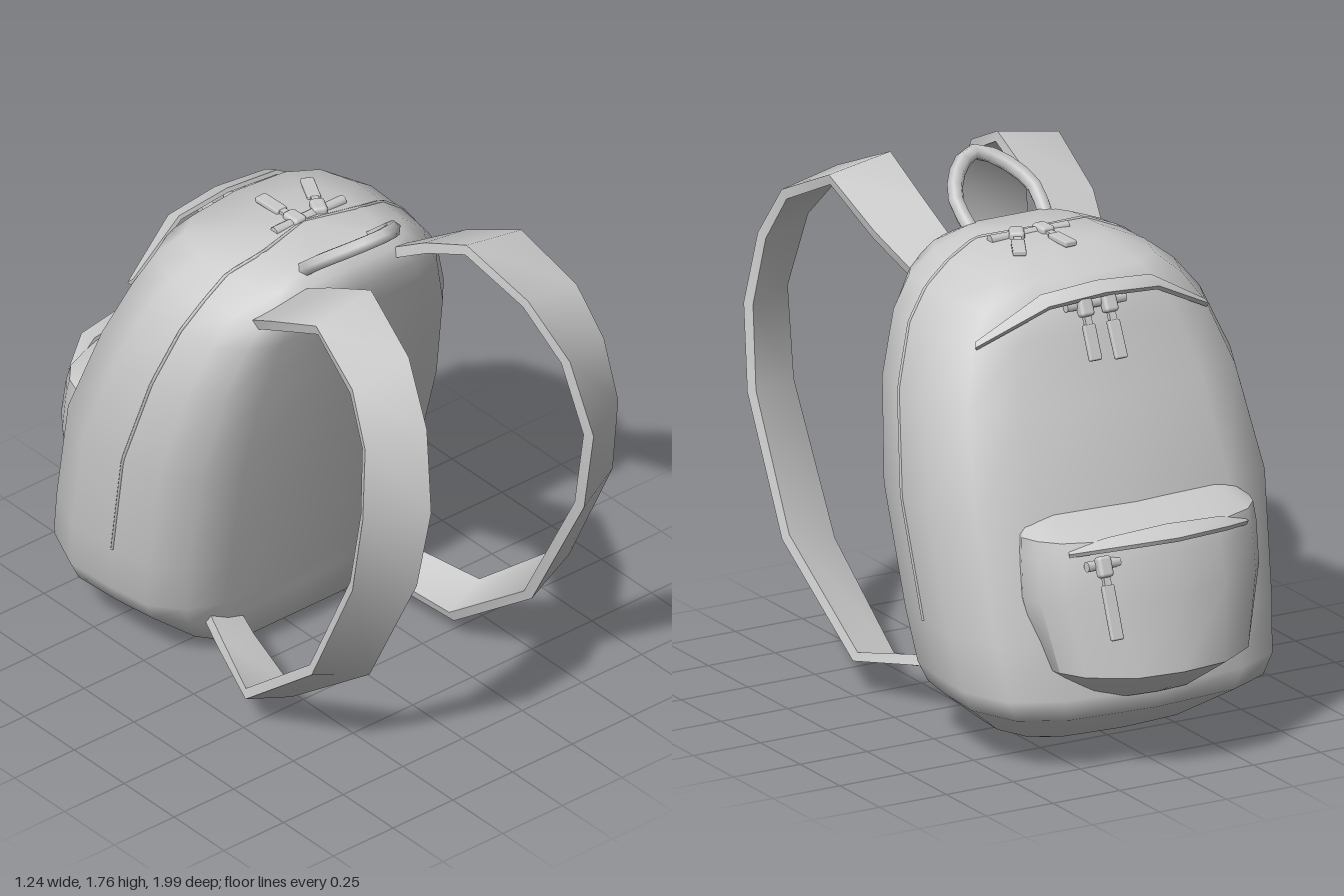
import * as THREE from 'three';
import { toCreasedNormals } from 'three/addons/utils/BufferGeometryUtils.js';
import { RoundedBoxGeometry } from 'three/addons/geometries/RoundedBoxGeometry.js';

const mat = new THREE.MeshStandardMaterial({ color: 0xcccccc, side: THREE.DoubleSide });
const V = (x, y, z) => new THREE.Vector3(x, y, z);

function part(name, geometry, parent) {
  const mesh = new THREE.Mesh(geometry, mat);
  mesh.name = name;
  parent.add(mesh);
  return mesh;
}

function indexed(points, index) {
  const g = new THREE.BufferGeometry().setFromPoints(points);
  g.setIndex(index);
  g.computeVertexNormals();
  return g;
}

// Horizontal sections [y, frontZ, backZ, halfWidth] skinned over a mirrored half outline [u, v]
function loft(rows, half, yBottom, yTop) {
  const mirrored = half.slice(1, -1).reverse().map(([u, v]) => [-u, v]);
  const ring = [...half, ...mirrored];
  const n = ring.length, points = [], index = [];
  for (const [y, zf, zb, w] of rows)
    for (const [u, v] of ring) points.push(V(u * w, y, zf + (zb - zf) * v));
  const bottom = points.length, top = bottom + 1, last = (rows.length - 1) * n;
  const centre = (r, y) => V(0, y, (r[1] + r[2]) / 2);
  points.push(centre(rows[0], yBottom), centre(rows.at(-1), yTop));
  for (let j = 0; j < n; j++) {
    const k = (j + 1) % n;
    for (let o = 0; o < last; o += n)
      index.push(o + j, o + k, o + n + k, o + j, o + n + k, o + n + j);
    index.push(bottom, k, j, top, last + j, last + k);
  }
  return indexed(points, index);
}

// Thick strip between two edge lines a and b
function ribbon(a, b, thickness) {
  const points = [], index = [], n = a.length;
  for (let i = 0; i < n; i++) {
    const p = Math.max(i - 1, 0), q = Math.min(i + 1, n - 1);
    const t = a[q].clone().add(b[q]).sub(a[p]).sub(b[p]);
    let w = b[i].clone().sub(a[i]);
    const off = w.cross(t).normalize().multiplyScalar(thickness);
    points.push(a[i], b[i], b[i].clone().add(off), a[i].clone().add(off));
  }
  for (let i = 0; i < n - 1; i++)
    for (let j = 0; j < 4; j++) {
      const s = i * 4 + j, e = i * 4 + (j + 1) % 4;
      index.push(s, e + 4, e, s, s + 4, e + 4);
    }
  const l = (n - 1) * 4;
  index.push(0, 1, 2, 0, 2, 3, l, l + 2, l + 1, l, l + 3, l + 2);
  return toCreasedNormals(indexed(points, index), 0.95);
}

// Zip slider with a hanging tab that runs from one point to another
function zipPull(parent, from, to) {
  const g = new THREE.Group();
  g.name = 'zipPull';
  const dir = to.clone().sub(from), length = dir.length();
  g.position.copy(from);
  g.lookAt(to);
  part('slider', new RoundedBoxGeometry(0.05, 0.04, 0.07, 2, 0.012), g);
  part('connector', new THREE.BoxGeometry(0.025, 0.016, 0.06), g).position.z = 0.05;
  part('tab', new RoundedBoxGeometry(0.045, 0.02, length - 0.06, 1, 0.006), g).position.z = length / 2 + 0.03;
  parent.add(g);
}

function zipRail(parent, x, y, z, length) {
  const rail = part('zipRail', new THREE.CylinderGeometry(0.018, 0.018, length, 8), parent);
  rail.rotation.z = Math.PI / 2;
  rail.position.set(x, y, z);
}

export function createModel() {
  const bag = new THREE.Group();
  bag.name = 'backpack';

  // Main compartment
  const outline = [[0, 0], [0.58, 0], [0.8, 0.07], [0.94, 0.2], [0.98, 0.4],
    [1, 0.64], [0.87, 0.86], [0.58, 0.965], [0, 1]];
  const rows = [
    [0.01, -0.18, -0.46, 0.24], [0.06, -0.085, -0.6, 0.36], [0.19, -0.06, -0.81, 0.53],
    [0.26, -0.045, -0.82, 0.565], [0.44, -0.005, -0.78, 0.59], [0.84, 0.08, -0.69, 0.62],
    [1.17, 0.15, -0.56, 0.575], [1.37, 0.19, -0.48, 0.5], [1.47, 0.215, -0.45, 0.42],
    [1.54, 0.19, -0.39, 0.33], [1.585, 0.13, -0.22, 0.21]];
  part('body', loft(rows, outline, 0.005, 1.6), bag);

  // Main zip seam, following the body sections over the top
  const [su, sv] = outline[4];
  const side = rows.slice(4).map(([y, zf, zb, w]) => V(su * w, y, zf + (zb - zf) * sv));
  const seam = [...side, V(0, 1.597, -0.05), ...side.map(p => V(-p.x, p.y, p.z)).reverse()];
  const seamPath = new THREE.CurvePath();
  for (let i = 1; i < seam.length; i++) seamPath.add(new THREE.LineCurve3(seam[i - 1], seam[i]));
  part('mainZipSeam', new THREE.TubeGeometry(seamPath, 80, 0.006, 5), bag);

  // Lower pocket
  const pocketOutline = [[0, 0], [0.93, 0], [1, 0.28], [0.95, 0.5], [0.82, 0.72], [0.45, 0.95], [0, 1]];
  const pocketRows = [
    [0.25, -0.6, -0.83, 0.24], [0.36, -0.6, -0.985, 0.37], [0.6, -0.6, -0.935, 0.43],
    [0.74, -0.6, -0.9, 0.43], [0.8, -0.6, -0.875, 0.425], [0.85, -0.58, -0.7, 0.36]];
  part('pocket', toCreasedNormals(loft(pocketRows, pocketOutline, 0.25, 0.855), 0.75), bag);

  // Zip lips, each a flap that tapers to its ends
  const lips = {
    pocketLip: [[[0.32, 0.765, -0.8], [0.2, 0.8, -0.85], [0, 0.815, -0.865]],
      [[0.33, 0.755, -0.82], [0.2, 0.785, -0.915], [0, 0.79, -0.945]]],
    upperLip: [[[0.42, 1.37, -0.385], [0.2, 1.5, -0.42], [0, 1.515, -0.425]],
      [[0.43, 1.355, -0.4], [0.2, 1.475, -0.475], [0, 1.49, -0.485]]],
  };
  for (const [name, edges] of Object.entries(lips)) {
    const [a, b] = edges.map(e => [
      ...e.map(p => V(...p)), ...e.slice(0, 2).reverse().map(([x, y, z]) => V(-x, y, z))]);
    part(name, ribbon(a, b, 0.015), bag);
  }

  // Shoulder straps: inner edge [x, y, z] and outer edge [x, y, z] per station
  const strap = [
    [0.18, 1.5, 0.12, 0.36, 1.46, 0.12], [0.2, 1.62, 0.32, 0.41, 1.56, 0.28],
    [0.2, 1.72, 0.53, 0.43, 1.68, 0.53], [0.25, 1.61, 0.78, 0.47, 1.57, 0.76],
    [0.3, 1.43, 0.93, 0.5, 1.4, 0.86], [0.34, 1.16, 1.0, 0.535, 1.16, 0.89],
    [0.35, 0.85, 0.94, 0.545, 0.87, 0.85], [0.34, 0.37, 0.69, 0.54, 0.43, 0.64],
    [0.34, 0.08, 0.3, 0.5, 0.12, 0.26], [0.28, 0.12, 0.02, 0.42, 0.16, 0.03],
    [0.22, 0.14, -0.16, 0.36, 0.18, -0.12]];
  const inner = s => strap.map(([x, y, z]) => V(s * x, y, z));
  const outer = s => strap.map(([, , , x, y, z]) => V(s * x, y, z));
  part('leftStrap', ribbon(inner(1), outer(1), 0.035), bag);
  part('rightStrap', ribbon(outer(-1), inner(-1), 0.035), bag);

  // Carry handle
  const loop = [[-0.14, 1.56, 0.12], [-0.145, 1.64, 0.21], [-0.08, 1.71, 0.3], [0, 1.74, 0.34],
    [0.08, 1.71, 0.3], [0.145, 1.64, 0.21], [0.14, 1.56, 0.12]].map(p => V(...p));
  part('handle', new THREE.TubeGeometry(new THREE.CatmullRomCurve3(loop), 12, 0.027, 6), bag);

  // Zip hardware
  zipRail(bag, 0.04, 1.59, -0.07, 0.29);
  zipPull(bag, V(-0.01, 1.595, -0.08), V(-0.015, 1.595, -0.25));
  zipPull(bag, V(0.09, 1.595, -0.08), V(0.17, 1.59, -0.235));
  zipRail(bag, 0.02, 1.465, -0.455, 0.22);
  zipPull(bag, V(-0.02, 1.465, -0.475), V(-0.02, 1.295, -0.555));
  zipPull(bag, V(0.07, 1.465, -0.475), V(0.07, 1.3, -0.545));
  zipRail(bag, 0.24, 0.735, -0.875, 0.12);
  zipPull(bag, V(0.25, 0.735, -0.9), V(0.25, 0.51, -0.985));

  return bag;
}
